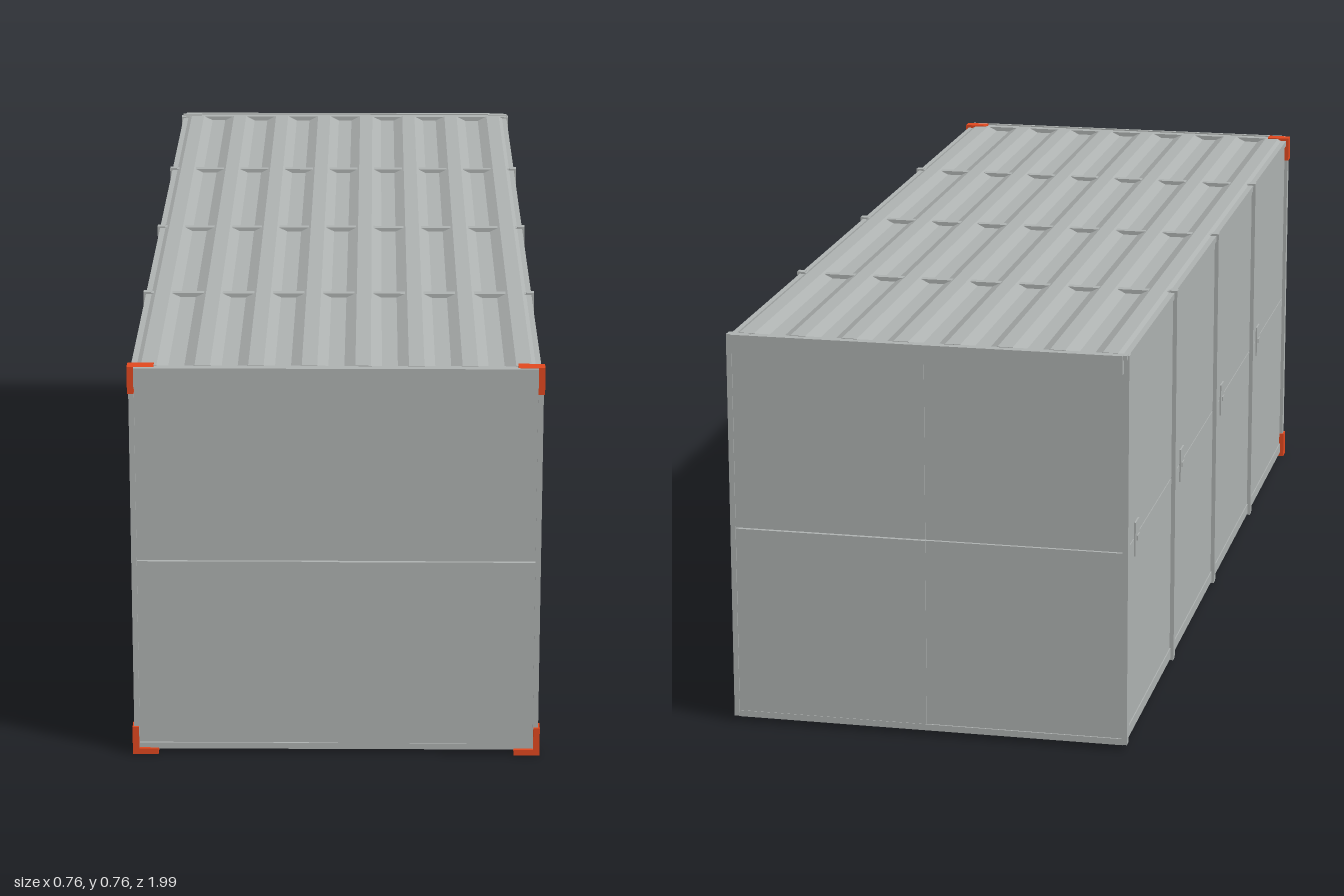
import * as THREE from 'three';

const steel = new THREE.MeshStandardMaterial({ name: 'grey steel', color: 0xadb1b0 });
const red = new THREE.MeshStandardMaterial({ name: 'red corner paint', color: 0xe0481f });
const wood = new THREE.MeshStandardMaterial({ name: 'brown floor', color: 0xa88468 });

const PITCH = 0.097;

// Closed trapezoid-wave sheet: span along x, ridges up y, extruded along z
function corrugated(a, b, ridge, depth, thick, length) {
  const height = t => {
    const d = Math.abs(t - ridge - Math.round((t - ridge) / PITCH) * PITCH);
    return depth * THREE.MathUtils.clamp((0.034 - d) / 0.02, 0, 1);
  };
  const ts = [a];
  for (let k = -10; k <= 10; k++) {
    for (const o of [-0.034, -0.014, 0.014, 0.034]) {
      const t = ridge + k * PITCH + o;
      if (t > a + 1e-4 && t < b - 1e-4) ts.push(t);
    }
  }
  ts.push(b);
  const upper = ts.map(t => new THREE.Vector2(t, height(t)));
  const lower = ts.map(t => new THREE.Vector2(t, height(t) - thick)).reverse();
  const geo = new THREE.ExtrudeGeometry(new THREE.Shape([...lower, ...upper]), { depth: length, bevelEnabled: false });
  return geo.translate(0, 0, -length / 2);
}

export function createModel() {
  const model = new THREE.Group();
  model.name = 'cargoContainer';

  // Box given by its minimum and maximum on each axis
  const box = (name, mat, x0, x1, y0, y1, z0, z1) => {
    const mesh = new THREE.Mesh(new THREE.BoxGeometry(x1 - x0, y1 - y0, z1 - z0), mat);
    mesh.position.set((x0 + x1) / 2, (y0 + y1) / 2, (z0 + z1) / 2);
    mesh.name = name;
    model.add(mesh);
  };
  // Interval mirrored to the negative side when s is negative
  const span = (s, a, b) => s > 0 ? [a, b] : [-b, -a];

  // Floor
  box('floor', wood, -0.362, 0.373, 0.018, 0.03, -0.966, 0.966);

  // Roof with lengthwise ridges
  const roof = new THREE.Mesh(corrugated(-0.364, 0.364, -0.048, 0.01, 0.006, 1.945), steel);
  roof.position.y = 0.744;
  roof.name = 'roof';
  model.add(roof);

  // Ridged side wall on the left
  const wall = new THREE.Mesh(corrugated(-0.744, -0.03, -0.137, 0.011, 0.005, 1.94).rotateZ(-Math.PI / 2), steel);
  wall.position.x = 0.359;
  wall.name = 'ridgedWall';
  model.add(wall);

  // Long rails
  for (const s of [-1, 1]) box('topRail', steel, ...span(s, 0.361, 0.372), 0.738, 0.75, -0.98, 0.98);
  box('bottomRailLeft', steel, 0.358, 0.37, 0.011, 0.018, -0.98, 0.98);
  box('bottomRailRight', steel, -0.371, -0.348, 0.009, 0.03, -0.98, 0.98);

  // Hoops: posts, roof bar and floor beam
  for (const z of [-0.488, 0, 0.488]) {
    const z0 = z - 0.008, z1 = z + 0.008;
    box('leftPost', steel, 0.362, 0.377, 0.01, 0.754, z0, z1);
    box('rightPost', steel, -0.377, -0.362, 0.01, 0.754, z0, z1);
    box('roofBar', steel, -0.375, 0.375, 0.742, 0.752, z0, z1);
    box('floorBeam', steel, -0.376, 0.376, 0.005, 0.021, z0, z1);
  }

  // Flat doors and handles on the right side, one pair per bay
  const edges = [-0.97, -0.488, 0, 0.488, 0.97];
  for (let i = 0; i < 4; i++) {
    const z0 = edges[i], z1 = edges[i + 1];
    box('lowerSideDoor', steel, -0.369, -0.358, 0.03, 0.379, z0, z1);
    box('upperSideDoor', steel, -0.369, -0.358, 0.3815, 0.738, z0, z1);
    box('doorSeam', steel, -0.364, -0.358, 0.379, 0.3815, z0, z1);
    const h = z0 + 0.1;
    box('handlePlate', steel, -0.372, -0.366, 0.345, 0.41, h - 0.018, h + 0.018);
    box('handleLever', steel, -0.374, -0.37, 0.373, 0.382, h - 0.008, h + 0.014);
  }

  // End walls: overlapping panels, sill, header and corner posts
  for (const s of [-1, 1]) {
    const panels = [[-0.368, 0.004, 0.981], [0.004, 0.368, 0.983]];
    for (const [x0, x1, face] of panels) {
      box('lowerEndPanel', steel, x0, x1, 0.021, 0.3795, ...span(s, 0.968, face));
      box('upperEndPanel', steel, x0, x1, 0.382, 0.722, ...span(s, 0.968, face));
    }
    box('endSeam', steel, -0.368, 0.368, 0.3795, 0.382, ...span(s, 0.968, 0.975));
    box('endSill', steel, -0.368, 0.368, 0.009, 0.021, ...span(s, 0.966, 0.984));
    box('endHeader', steel, -0.366, 0.366, 0.72, 0.753, ...span(s, 0.97, 0.99));
    box('headerLip', steel, -0.366, 0.366, 0.72, 0.7555, ...span(s, 0.99, 0.997));
    for (const side of [-1, 1]) {
      box('cornerPost', steel, ...span(side, 0.366, 0.376), 0.01, 0.753, ...span(s, 0.966, 0.985));
    }
  }

  // Corner fittings: red at the front, grey on the back roof edge
  for (const s of [-1, 1]) {
    box('lowerCornerUpright', red, ...span(s, 0.367, 0.379), 0, 0.054, 0.964, 0.99);
    box('lowerCornerFoot', red, ...span(s, 0.331, 0.379), 0, 0.011, 0.964, 0.99);
    box('upperCornerUpright', red, ...span(s, 0.366, 0.378), 0.705, 0.756, 0.964, 0.99);
    box('upperCornerCap', red, ...span(s, 0.33, 0.378), 0.746, 0.756, 0.964, 0.99);
    box('backCornerCap', steel, ...span(s, 0.33, 0.373), 0.746, 0.755, -0.992, -0.978);
  }
  return model;
}
